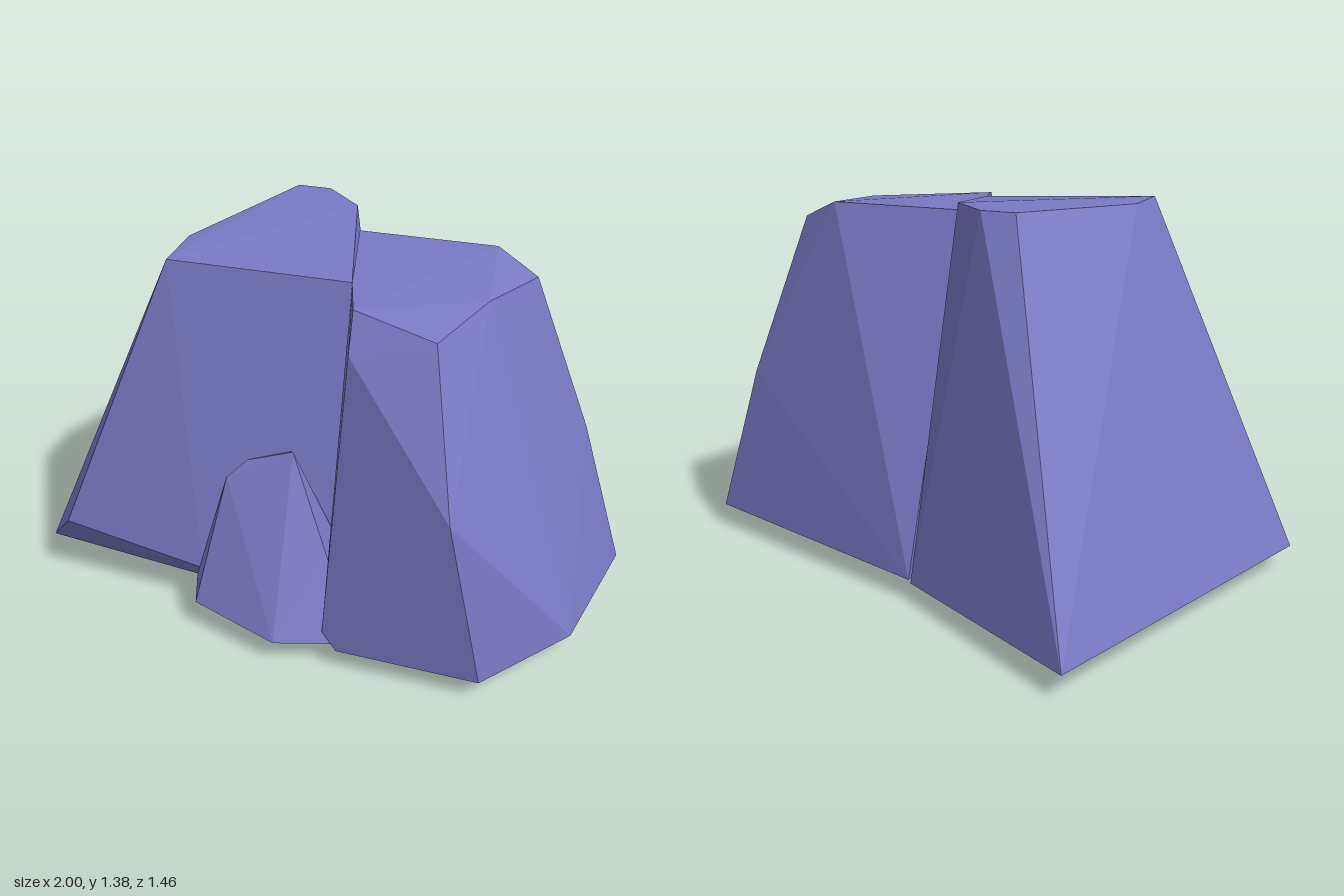
import * as THREE from 'three';
import { ConvexGeometry } from 'three/addons/geometries/ConvexGeometry.js';

const material = new THREE.MeshStandardMaterial({ color: 0x7a78c4, flatShading: true });

// A faceted boulder: the convex hull of its corners
function boulder(name, corners) {
  const points = corners.map(([x, y, z]) => new THREE.Vector3(x, y, z));
  const mesh = new THREE.Mesh(new ConvexGeometry(points), material);
  mesh.name = name;
  return mesh;
}

export function createModel() {
  const group = new THREE.Group();
  group.name = 'rockCluster';

  // Long sloping slab on the -x side
  group.add(boulder('slabRock', [
    // top
    [-0.44, 1.385, -0.32], [-0.32, 1.385, -0.36], [-0.14, 1.385, -0.28],
    [0.16, 1.33, 0.18], [-0.43, 1.36, 0.45], [-0.5, 1.36, 0.25],
    // inner edge and front lip
    [0.16, 0.9, 0.23], [0.18, 0.48, 0.29], [-0.25, 0.19, 0.56], [-0.77, 0.29, 0.73],
    // base
    [-1, 0.09, -0.73], [-0.97, 0.09, 0.63], [0.17, 0.005, 0.3], [-0.15, 0.07, -0.54],
  ]));

  // Broad block on the +x side
  group.add(boulder('blockRock', [
    // top
    [-0.06, 1.34, -0.18], [0.42, 1.34, -0.35], [0.59, 1.27, -0.34], [0.59, 1.31, 0],
    [0.57, 1.27, 0.29], [0.27, 1.32, 0.33], [0.16, 1.325, 0.18],
    // shoulders
    [0.3, 1.19, 0.4], [0.77, 0.76, 0.5], [0.77, 0.66, -0.47],
    // base
    [0.3, 0.15, 0.56], [0.36, 0.09, 0.56], [0.86, 0.09, 0.41], [1, 0.09, 0],
    [0.92, 0.09, -0.54], [-0.14, 0.08, -0.54], [0.18, 0.005, 0.3], [0.68, 0.01, 0.27],
  ]));

  // Small pointed rock leaning on the front
  group.add(boulder('smallRock', [
    [0.04, 0.71, 0.37], [-0.12, 0.65, 0.43], [-0.18, 0.58, 0.48], [-0.05, 0.65, 0.3],
    [0.24, 0.4, 0.45], [0.28, 0.2, 0.53], [0.4, 0.1, 0.5], [0.16, 0.1, 0.665],
    [-0.2, 0.12, 0.665], [-0.27, 0.16, 0.57], [-0.34, 0.06, 0.5],
    [-0.2, 0.07, 0.25], [0.3, 0.07, 0.25],
  ]));

  return group;
}
